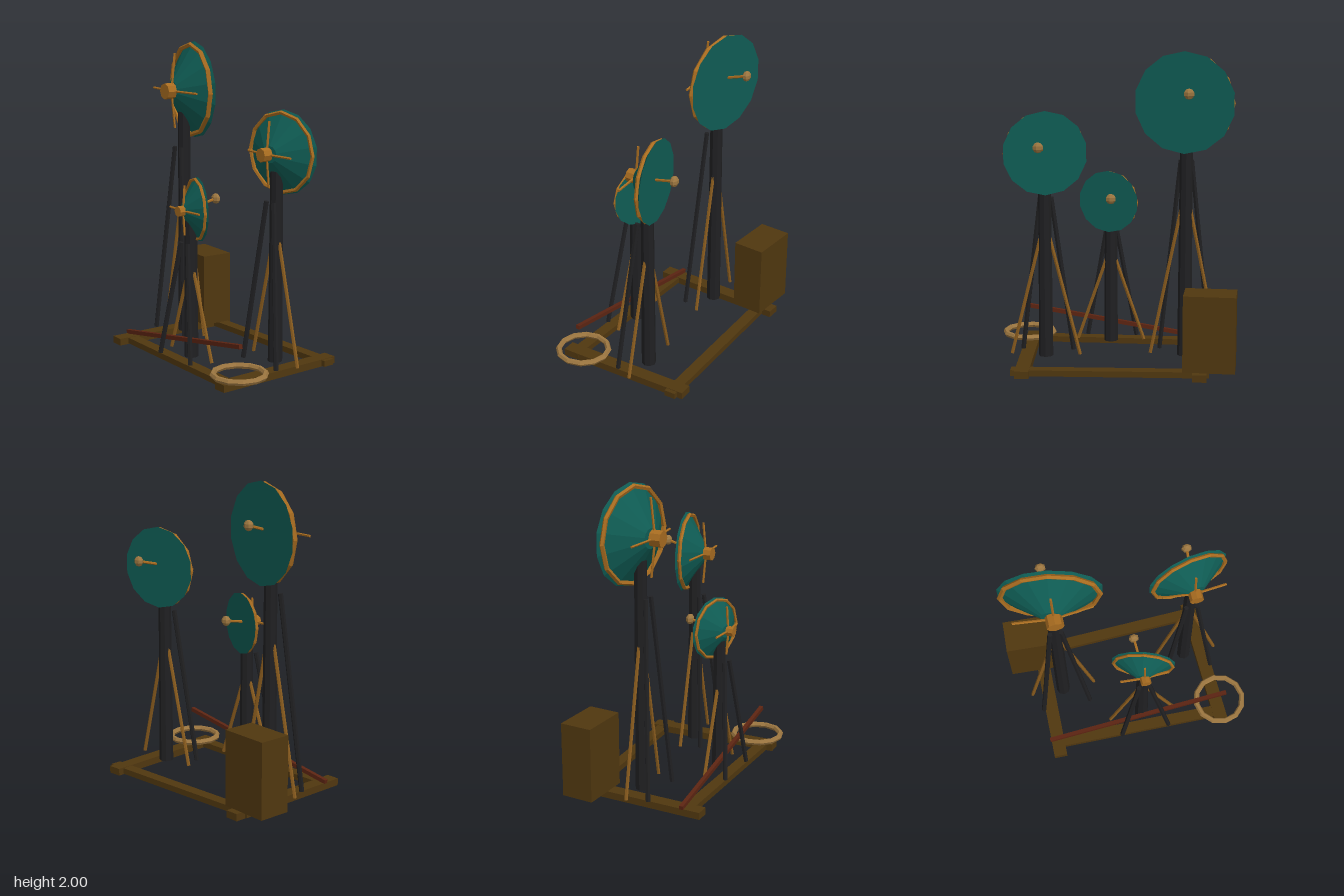
import * as THREE from 'three';

const mat = (name, color, flatShading = true) => {
  const m = new THREE.MeshStandardMaterial({ color, flatShading });
  m.name = name;
  return m;
};

export function createModel() {
  const model = new THREE.Group();
  model.name = 'signalDishes';

  const teal = mat('teal', 0x0f5c54);
  const copper = mat('copper', 0xa86c20);
  const brass = mat('brass', 0x9c7640);
  const iron = mat('iron', 0x202022);
  const wood = mat('wood', 0x50370f);
  const brace = mat('braceWood', 0x8a5c1e);
  const rust = mat('rust', 0x5c2412);

  const add = (parent, name, geometry, material, x = 0, y = 0, z = 0) => {
    const mesh = new THREE.Mesh(geometry, material);
    mesh.name = name;
    mesh.position.set(x, y, z);
    parent.add(mesh);
    return mesh;
  };

  // Round bar between two points
  const up = new THREE.Vector3(0, 1, 0);
  const bar = (parent, name, material, from, to, radius, sides = 6) => {
    const a = new THREE.Vector3(...from), b = new THREE.Vector3(...to);
    const dir = b.clone().sub(a);
    const mid = a.add(b).multiplyScalar(0.5);
    const mesh = add(parent, name, new THREE.CylinderGeometry(radius, radius, dir.length(), sides),
      material, mid.x, mid.y, mid.z);
    mesh.quaternion.setFromUnitVectors(up, dir.normalize());
    return mesh;
  };

  // Flat beam between two floor points
  const beam = (name, x1, z1, x2, z2, width, height, y) => {
    const length = Math.hypot(x2 - x1, z2 - z1);
    const mesh = add(model, name, new THREE.BoxGeometry(length, height, width), wood,
      (x1 + x2) / 2, y, (z1 + z2) / 2);
    mesh.rotation.y = -Math.atan2(z2 - z1, x2 - x1);
  };

  // Base frame
  beam('leftFrameBeam', 0.55, -0.475, 0.578, 0.425, 0.09, 0.046, 0.023);
  beam('rightFrameBeam', -0.55, -0.475, -0.572, 0.425, 0.088, 0.046, 0.023);
  beam('backFrameBeam', -0.61, -0.37, 0.625, -0.403, 0.075, 0.038, 0.024);
  beam('frontFrameBeam', -0.61, 0.322, 0.62, 0.352, 0.075, 0.038, 0.024);

  // One mast with legs, braces and a dish opening towards the back
  const mast = ({ name, x, z, top, dishY, R, yaw, feed }) => {
    const g = new THREE.Group();
    g.name = name;
    g.position.set(x, 0, z);
    model.add(g);

    add(g, 'pole', new THREE.CylinderGeometry(0.04, 0.046, top - 0.045, 8), iron, 0, (top + 0.045) / 2, 0);
    for (const s of [-1, 1]) {
      bar(g, 'frontLeg', iron, [s * 0.165, 0.05, 0.125], [s * 0.035, top * 0.85, 0.05], 0.016);
      bar(g, 'sideBrace', brace, [s * 0.22, 0.055, 0], [s * 0.03, top * 0.65, 0], 0.012);
    }

    // Reflector cone and its rim ring turn together
    const dish = new THREE.Group();
    dish.name = 'dish';
    dish.position.y = dishY;
    dish.rotation.y = yaw;
    g.add(dish);
    const cone = new THREE.CylinderGeometry(R * 0.2, R, R * 0.5, 14).rotateX(Math.PI / 2);
    add(dish, 'reflector', cone, teal, 0, 0, R * 0.01);
    add(dish, 'rimRing', new THREE.TorusGeometry(R * 0.935, R * 0.05, 5, 12), copper, 0, 0, -R * 0.15);

    // Hub with four spokes
    const hubZ = R * 0.37;
    const hub = new THREE.CylinderGeometry(R * 0.165, R * 0.165, R * 0.23, 8).rotateX(Math.PI / 2);
    add(g, 'hub', hub, copper, 0, dishY, hubZ);
    for (let i = 0; i < 4; i++) {
      const c = Math.cos(i * Math.PI / 2), s = Math.sin(i * Math.PI / 2), r = R * 0.77;
      bar(g, 'spoke', copper, [0, dishY, hubZ - 0.018],
        [c * r, dishY + s * r, hubZ - R * 0.14], 0.008, 5);
    }

    // Feed rod ending in a small knob
    const tip = [feed[0], dishY + feed[1], feed[2]];
    bar(g, 'feedRod', copper, [0, dishY, 0.03], tip, 0.009);
    const knob = add(g, 'feedKnob', new THREE.SphereGeometry(0.034, 7, 5), brass, ...tip);
    knob.scale.z = 0.78;
  };

  mast({ name: 'tallMast', x: -0.453, z: -0.05, top: 1.54, dishY: 1.683, R: 0.318, yaw: -0.175,
    feed: [-0.014, 0.068, -0.207] });
  mast({ name: 'shortMast', x: 0.042, z: 0.25, top: 0.93, dishY: 0.997, R: 0.204, yaw: -0.297,
    feed: [-0.012, 0.046, -0.203] });
  mast({ name: 'middleMast', x: 0.436, z: -0.117, top: 1.26, dishY: 1.368, R: 0.265, yaw: 0.192,
    feed: [0.014, 0.056, -0.205] });

  // Cabinet on the back corner
  const cabinet = add(model, 'cabinet', new THREE.BoxGeometry(0.325, 0.485, 0.212), wood, -0.613, 0.288, -0.329);
  cabinet.rotation.y = -0.06;

  // Leaning rod along the front
  const rod = add(model, 'leaningRod', new THREE.BoxGeometry(1.265, 0.026, 0.026), rust, 0.004, 0.16, 0.303);
  rod.rotation.z = Math.atan2(0.21, 1.25);

  // Loose hoop on the front corner
  const hoop = new THREE.TorusGeometry(0.162, 0.019, 6, 12).rotateX(Math.PI / 2);
  add(model, 'hoop', hoop, brass, 0.594, 0.083, 0.288);

  return model;
}
